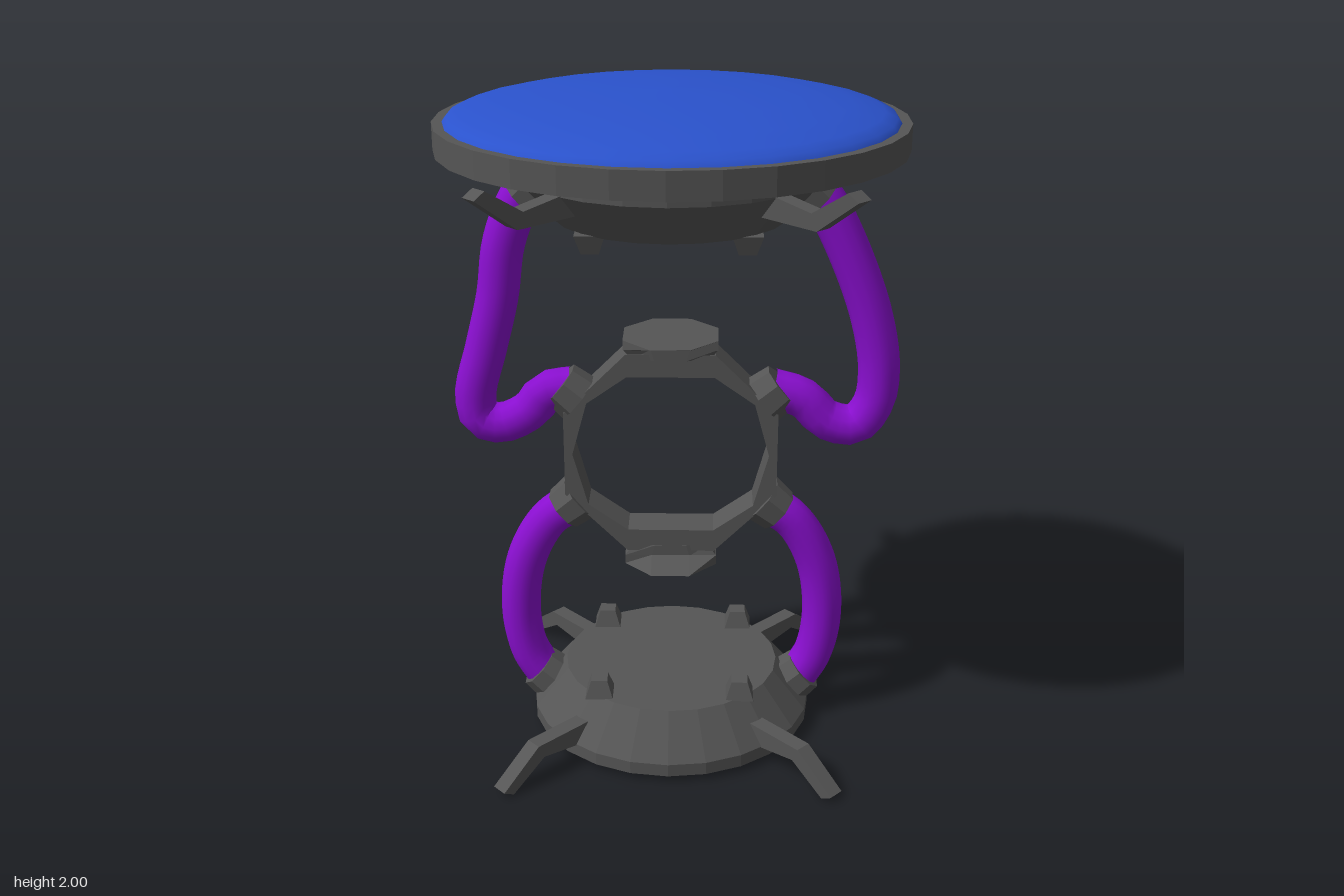
import * as THREE from 'three';

const gray = new THREE.MeshStandardMaterial({ name: 'darkGray', color: 0x555555, flatShading: true, side: THREE.DoubleSide });
const blue = new THREE.MeshStandardMaterial({ name: 'cushionBlue', color: 0x2a52cc });
const purple = new THREE.MeshStandardMaterial({ name: 'hosePurple', color: 0x8a0fd0 });

const MID = 0.915; // height of the mirror plane through the ring
const CX = -0.008;

function add(parent, name, geometry, material, x = 0, y = 0, z = 0) {
  const mesh = new THREE.Mesh(geometry, material);
  mesh.name = name;
  mesh.position.set(x, y, z);
  parent.add(mesh);
  return mesh;
}

const lathe = (pts, n) => new THREE.LatheGeometry(pts.map(p => new THREE.Vector2(...p)), n);

// Collar whose axis lies in the xy plane, pointing at the given direction
function collar(parent, name, x, y, dx, dy, r, h) {
  const geo = new THREE.CylinderGeometry(r * 0.9, r, h, 8).rotateY(Math.PI / 8);
  const m = add(parent, name, geo, gray, x, y, 0);
  m.rotation.z = Math.atan2(-dx, dy);
}

// Frustum plate with four clips, four studs and two hose collars
function endPlate(name) {
  const g = new THREE.Group();
  g.name = name;
  const plate = add(g, name + 'Disc', lathe([[0, 0.02], [0.44, 0.02], [0.44, 0.06], [0.335, 0.185], [0, 0.185]], 24), gray);
  plate.scale.z = 0.955;

  const clip = new THREE.Shape([[0.38, 0.05], [0.55, 0.075], [0.67, 0], [0.705, 0.02], [0.57, 0.12], [0.36, 0.12]]
    .map(p => new THREE.Vector2(...p)));
  const clipGeo = new THREE.ExtrudeGeometry(clip, { depth: 0.05, bevelEnabled: false }).translate(0, 0, -0.025);
  for (let i = 0; i < 4; i++) {
    const a = Math.PI / 4 + i * Math.PI / 2;
    add(g, 'clip', clipGeo, gray).rotation.y = a;
    const stud = add(g, 'stud', new THREE.CylinderGeometry(0.035, 0.06, 0.055, 4),
      gray, 0.215 * Math.sign(Math.cos(a)), 0.21, 0.215 * Math.sign(Math.sin(a)));
    stud.rotation.y = Math.PI / 4;
  }
  for (const s of [-1, 1]) collar(g, 'hoseCollar', s * 0.4, 0.12, s * 0.75, 0.66, 0.08, 0.07);
  return g;
}

// Octagonal ring with sockets and a flared cap above and below
function centerRing() {
  const g = new THREE.Group();
  g.name = 'centerRing';
  const R = 0.32 / Math.cos(Math.PI / 8);
  const outer = [];
  for (let i = 0; i < 8; i++) {
    const a = Math.PI / 8 + i * Math.PI / 4;
    outer.push(new THREE.Vector2(R * Math.cos(a), R * Math.sin(a)));
  }
  const shape = new THREE.Shape(outer);
  shape.holes.push(new THREE.Path([[0.295, 0], [0.25, -0.165], [0.13, -0.25], [-0.13, -0.25], [-0.25, -0.165],
    [-0.295, 0], [-0.25, 0.165], [-0.13, 0.25], [0.13, 0.25], [0.25, 0.165]].map(p => new THREE.Vector2(...p))));
  add(g, 'ringBand', new THREE.ExtrudeGeometry(shape, { depth: 0.116, bevelEnabled: false }).translate(0, 0, -0.058), gray);

  // Cap sections: the lower edges are pinched to the depth of the ring
  const k = 1 / Math.cos(Math.PI / 8);
  const pinch = (geo, always) => {
    const p = geo.attributes.position;
    for (let i = 0; i < p.count; i++)
      if (always || p.getY(i) < 0) p.setZ(i, THREE.MathUtils.clamp(p.getZ(i), -0.06, 0.06));
    return geo;
  };
  const capTop = pinch(new THREE.CylinderGeometry(0.14 * k, 0.14 * k, 0.03, 8).rotateY(Math.PI / 8), false);
  const capNeck = pinch(new THREE.CylinderGeometry(0.14 * k, 0.115 * k, 0.035, 8).rotateY(Math.PI / 8), true);
  for (const flip of [0, Math.PI]) {
    const cap = new THREE.Group();
    cap.name = flip ? 'bottomCap' : 'topCap';
    add(cap, 'capPlate', capTop, gray, 0, 0.35, 0);
    add(cap, 'capNeck', capNeck, gray, 0, 0.32, 0);
    cap.rotation.x = flip;
    g.add(cap);
  }
  for (const sx of [-1, 1]) for (const sy of [-1, 1])
    collar(g, 'ringSocket', sx * 0.305, sy * 0.185, sx * 0.77, sy * 0.64, 0.078, 0.07);
  return g;
}

// Round seat: hollow rim with a slot at each side, pan below, cushion on top
function seat() {
  const g = new THREE.Group();
  g.name = 'seat';
  const r = 0.665, bottom = 1.84, top = 1.917, slot = 1.885, gap = Math.PI * 2 / 30;
  const wall = (y0, y1, n, start, len) =>
    new THREE.CylinderGeometry(r, r, y1 - y0, n, 1, true, start, len).translate(0, (y0 + y1) / 2, 0);
  for (const side of [0, Math.PI]) {
    const c = Math.PI / 2 + side;
    add(g, 'rimWall', wall(bottom, top, 14, c + gap / 2, Math.PI - gap), gray);
    add(g, 'rimBelowSlot', wall(bottom, slot, 1, c - gap / 2, gap), gray);
  }
  add(g, 'rimLip', new THREE.RingGeometry(0.62, r, 30, 1, gap / 2).rotateX(-Math.PI / 2), gray, 0, top, 0);
  add(g, 'pan', new THREE.CircleGeometry(r, 30, gap / 2).rotateX(Math.PI / 2), gray, 0, bottom, 0);
  add(g, 'panNeck', new THREE.CylinderGeometry(0.4, 0.4, 0.05, 24), gray, 0, 1.82, 0);
  add(g, 'cushion', lathe([[0.637, 1.915], [0.625, 1.932], [0.59, 1.947], [0.5, 1.968], [0.36, 1.985], [0.18, 1.996], [0, 2]], 30), blue);
  g.scale.z = 0.947;
  return g;
}

function hose(parent, name, pts) {
  const curve = new THREE.CatmullRomCurve3(pts.map(([x, y]) => new THREE.Vector3(x, y, -0.005)));
  add(parent, name, new THREE.TubeGeometry(curve, 32, 0.062, 12), purple);
}

export function createModel() {
  const model = new THREE.Group();
  model.name = 'stool';

  const base = endPlate('base');
  base.position.x = CX;
  const bowl = endPlate('seatBowl');
  bowl.rotation.x = Math.PI;
  bowl.position.set(CX, MID * 2, 0);
  const ring = centerRing();
  ring.position.set(CX, MID, 0);
  const top = seat();
  top.position.x = CX + 0.003;
  model.add(base, bowl, ring, top);

  // Lower hoses are mirrored, upper ones are bent differently
  const lower = [[0.29, 0.735], [0.375, 0.675], [0.45, 0.54], [0.477, 0.36], [0.455, 0.21], [0.4, 0.11]];
  for (const s of [-1, 1]) hose(model, s > 0 ? 'lowerLeftHose' : 'lowerRightHose', lower.map(([x, y]) => [CX + s * x, y]));
  hose(model, 'upperLeftHose', [[0.39, 1.73], [0.43, 1.68], [0.507, 1.53], [0.578, 1.34], [0.608, 1.18],
    [0.598, 1.07], [0.545, 0.998], [0.46, 1.01], [0.385, 1.08], [0.29, 1.11]]);
  hose(model, 'upperRightHose', [[-0.39, 1.74], [-0.435, 1.69], [-0.49, 1.555], [-0.515, 1.395], [-0.555, 1.236],
    [-0.595, 1.08], [-0.582, 1.01], [-0.52, 0.992], [-0.43, 1.035], [-0.38, 1.095], [-0.3, 1.11]]);
  return model;
}
